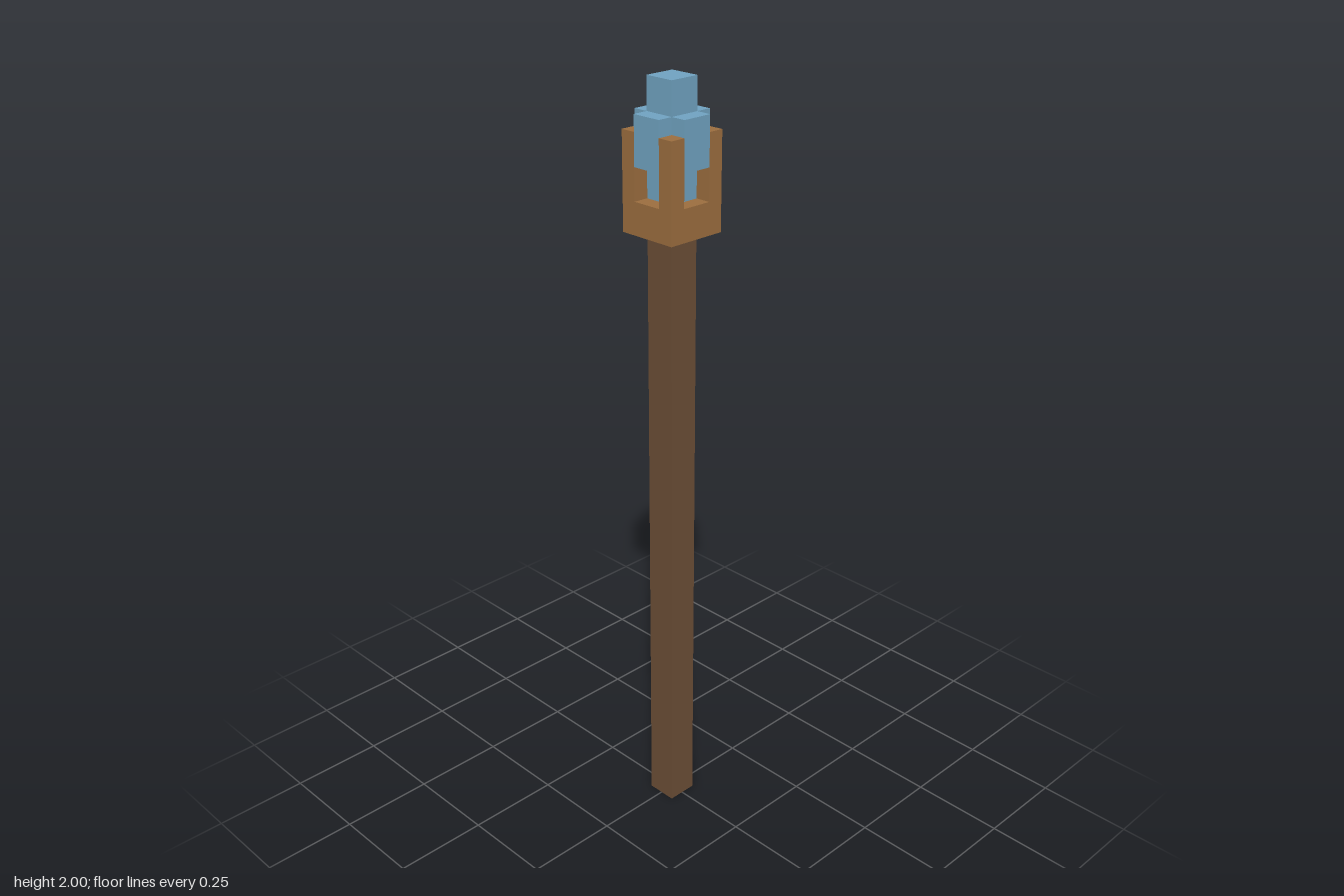
import * as THREE from 'three';

const U = 2 / 49; // one block unit

function material(name, color) {
  const m = new THREE.MeshStandardMaterial({ color });
  m.name = name;
  return m;
}

export function createModel() {
  const darkWood = material('darkWood', 0x6b4e36);
  const lightWood = material('lightWood', 0x9c6e3f);
  const crystalBlue = material('crystalBlue', 0x70a3c1);

  const model = new THREE.Group();
  model.name = 'staff';

  // Box of w x d units spanning heights y0..y1, centred on (x, z)
  function block(name, mat, w, d, y0, y1, x = 0, z = 0) {
    const mesh = new THREE.Mesh(new THREE.BoxGeometry(w * U, (y1 - y0) * U, d * U), mat);
    mesh.position.set(x * U, (y0 + y1) / 2 * U, z * U);
    mesh.name = name;
    model.add(mesh);
  }

  // Long shaft and the cradle floor
  block('shaft', darkWood, 2, 2, 0, 40);
  block('cradleBase', lightWood, 4, 4, 40, 42);

  // Corner posts of the cradle
  for (const x of [-1.5, 1.5]) {
    for (const z of [-1.5, 1.5]) block('cradlePost', lightWood, 1, 1, 42, 46, x, z);
  }

  // Crystal: tall core with a raised block on each side
  block('crystalCore', crystalBlue, 2, 2, 42, 49);
  for (const s of [-1.5, 1.5]) {
    block('crystalSide', crystalBlue, 1, 2, 44, 47, s, 0);
    block('crystalSide', crystalBlue, 2, 1, 44, 47, 0, s);
  }

  return model;
}
